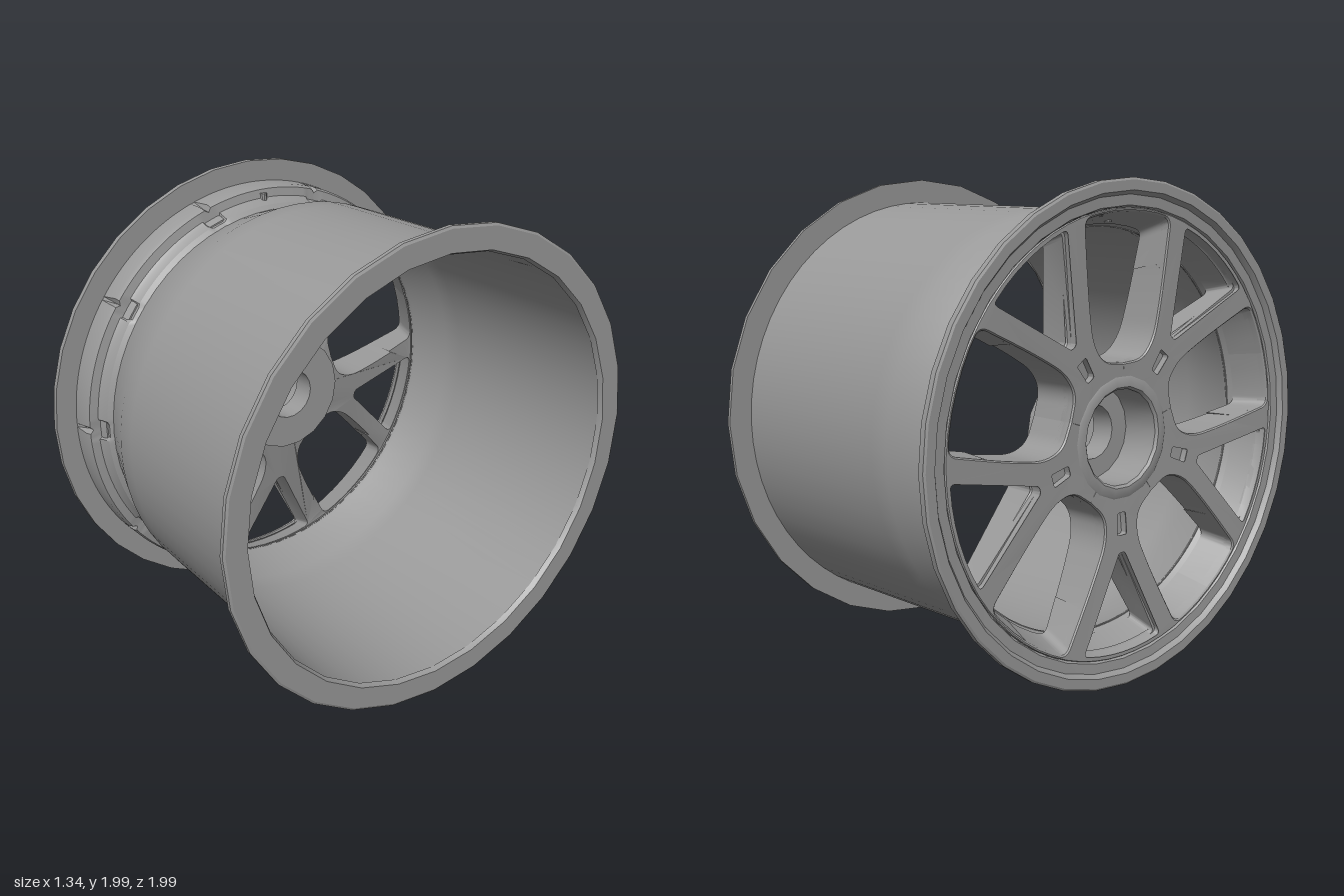
import * as THREE from 'three';
import { toCreasedNormals } from 'three/addons/utils/BufferGeometryUtils.js';

const DEG = Math.PI / 180;
const material = new THREE.MeshStandardMaterial({ color: 0x999999, side: THREE.DoubleSide });

function addMesh(group, name, geometry, crease = 0.6) {
  const mesh = new THREE.Mesh(toCreasedNormals(geometry, crease), material);
  mesh.name = name;
  group.add(mesh);
  return mesh;
}

// Closed ring around the x axis from a profile of [x, radius] points
function ring(profile, segments) {
  const pts = [...profile, profile[0]].map(([x, r]) => new THREE.Vector2(r, x));
  return new THREE.LatheGeometry(pts, segments).rotateZ(-Math.PI / 2);
}

// Outline corners: a position and a rounding radius
const corner = (u, v, r = 0) => ({ p: new THREE.Vector2(u, v), r });
const polar = (radius, deg, r = 0) => corner(radius * Math.cos(deg * DEG), radius * Math.sin(deg * DEG), r);
// Corner measured from the middle line between two spokes
const gap = (u, v, r) => {
  const c = corner(u, -v, r);
  c.p.rotateAround(new THREE.Vector2(), 36 * DEG);
  return c;
};

// Trace half an outline plus its mirror image, rounding the corners
function traceSymmetric(path, half) {
  const mirrored = half.filter(({ p }) => p.y > 1e-6).reverse().map(({ p, r }) => corner(p.x, -p.y, r));
  const all = [...half, ...mirrored];
  const line = (q, i) => (i === 0 ? path.moveTo(q.x, q.y) : path.lineTo(q.x, q.y));
  all.forEach(({ p, r }, i) => {
    if (r === 0) {
      line(p, i);
      return;
    }
    const toward = ({ p: q }) => p.clone().lerp(q, Math.min(0.45, r / p.distanceTo(q)));
    const a = toward(all[(i + all.length - 1) % all.length]);
    const b = toward(all[(i + 1) % all.length]);
    line(a, i);
    path.quadraticCurveTo(p.x, p.y, b.x, b.y);
  });
  path.closePath();
  return path;
}

// One forked spoke with its share of the hub plate and rim seat
function spokeShape(forkAngle, withSlot) {
  const shape = traceSymmetric(new THREE.Shape(), [
    ...[0, 12, 25, 37].map((a) => polar(0.195, a)),
    polar(0.29, 37), gap(0.298, 0.105, 0.06), gap(0.38, 0.165, 0.06), gap(0.55, 0.195, 0.12),
    polar(0.862, 20.8, 0.04), ...[26, 31, 37].map((a) => polar(0.862, a)),
    ...[37, 31, 26, 20, 15, 10, 5, 0].map((a) => polar(0.877, a)),
  ]);
  // triangular window in the fork
  shape.holes.push(traceSymmetric(new THREE.Path(), [
    corner(0.45, 0.018, 0.015), polar(0.862, forkAngle, 0.03),
    ...[9, 4.5, 0].map((a) => polar(0.862, a)),
  ]));
  if (withSlot) {
    shape.holes.push(traceSymmetric(new THREE.Path(), [corner(0.29, 0.025, 0.015), corner(0.39, 0.032, 0.015)]));
  }
  return shape;
}

// Extrude from depth z0 to z1 along -x, dish toward the hub, taper to the rim seat
function spokeLayer(shape, z0, z1, bevel) {
  const geo = new THREE.ExtrudeGeometry(shape, {
    depth: z1 - z0 - 2 * bevel, curveSegments: 8, bevelEnabled: bevel > 0,
    bevelThickness: bevel, bevelSize: bevel, bevelOffset: -bevel, bevelSegments: 1,
  });
  geo.translate(0, 0, z0 + bevel);
  const p = geo.attributes.position;
  for (let i = 0; i < p.count; i++) {
    const x = p.getX(i), y = p.getY(i), z = p.getZ(i);
    const r = Math.hypot(x, y);
    const k = (z - 0.5) / 0.14;
    const s = r > 0.7 ? THREE.MathUtils.lerp(0.945, 1, k) : 1;
    const dish = (1 - Math.min(1, r / 0.85)) * THREE.MathUtils.lerp(0.12, 0.03, k);
    p.setXYZ(i, x * s, y * s, z - dish);
  }
  return geo.rotateY(-Math.PI / 2);
}

// Outer rim wall with ten raised pockets, grooved over every spoke end
function pocketWall() {
  const steps = 360;
  const geo = ring([
    [-0.645, 0.895], [-0.56, 0.893], [-0.538, 0.885], [-0.53, 0.85], [-0.515, 0.84],
    [-0.485, 0.83], [-0.468, 0.81], [-0.468, 0.803], [-0.5, 0.818], [-0.62, 0.864], [-0.645, 0.885],
  ], steps);
  const p = geo.attributes.position;
  for (let i = 0; i < p.count; i++) {
    const x = p.getX(i), y = p.getY(i), z = p.getZ(i);
    const r = Math.hypot(y, z);
    const step = Math.round(Math.atan2(y, z) / DEG + steps) % 36;
    const away = Math.min(step, 36 - step);
    const front = x < -0.535;
    const outer = front ? r > 0.88 && x > -0.64 : r > 0.825;
    if (outer && away <= (front ? 0 : 2)) {
      const s = (front ? 0.87 : 0.822) / r;
      p.setXYZ(i, x, y * s, z * s);
    }
  }
  return geo;
}

export function createModel() {
  const model = new THREE.Group();
  const wheel = new THREE.Group();
  wheel.name = 'wheelRim';
  wheel.position.y = 1;
  model.add(wheel);

  // Barrel and its end flanges
  addMesh(wheel, 'barrel', ring([
    [-0.475, 0.81], [-0.45, 0.817], [-0.29, 0.873], [-0.2, 0.876], [0.65, 0.896],
    [0.65, 0.888], [-0.2, 0.865], [-0.29, 0.86], [-0.45, 0.808], [-0.475, 0.803],
  ], 64));
  addMesh(wheel, 'innerFlange', ring([
    [0.645, 0.885], [0.645, 0.995], [0.662, 0.995], [0.667, 0.985], [0.667, 0.895],
  ], 28), 0.3);
  addMesh(wheel, 'outerFlange', ring([
    [-0.67, 0.94], [-0.67, 0.978], [-0.665, 0.987], [-0.64, 0.987], [-0.64, 0.88], [-0.648, 0.885], [-0.65, 0.925],
  ], 36), 0.3);
  addMesh(wheel, 'pocketWall', pocketWall(), 0.5);

  // Five forked spokes: solid back layer and slotted front layer
  const backShape = spokeShape(13.9, false);
  const faceShape = spokeShape(14.8, true);
  for (let i = 0; i < 5; i++) {
    const turn = (90 - 72 * i) * DEG;
    addMesh(wheel, 'spoke', spokeLayer(backShape, 0.5, 0.62, 0).rotateX(turn));
    addMesh(wheel, 'spokeFace', spokeLayer(faceShape, 0.6, 0.645, 0.005).rotateX(turn));
  }

  // Hub with a recessed bore
  addMesh(wheel, 'hub', ring([
    [-0.63, 0.235], [-0.62, 0.25], [-0.355, 0.25], [-0.355, 0.11],
    [-0.46, 0.11], [-0.46, 0.19], [-0.62, 0.19], [-0.63, 0.2],
  ], 18));

  // Valve seat at the top of the rim
  const valve = addMesh(wheel, 'valveSeat', new THREE.CylinderGeometry(0.015, 0.015, 0.05, 10));
  valve.position.set(-0.53, 0.845, 0);

  return model;
}
